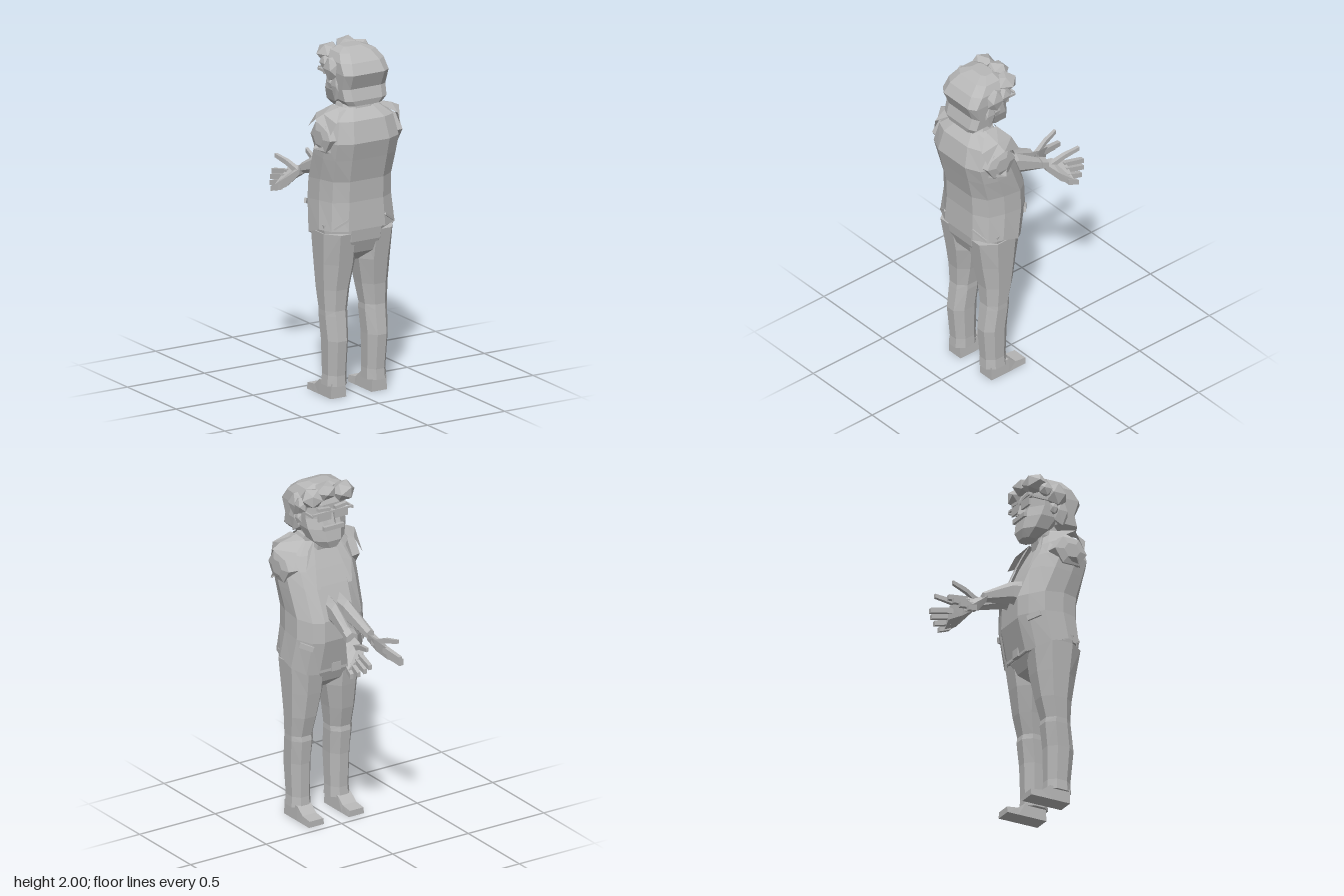
import * as THREE from 'three';

const grey = new THREE.MeshStandardMaterial({ color: 0xb8b8b8, side: THREE.DoubleSide });
grey.name = 'grey';

// Flat-shaded skin through cross-sections; closed rings wrap round and get end caps
function loft(name, rings, closed = true) {
  const tris = [], n = rings[0].length;
  for (let r = 0; r < rings.length - 1; r++)
    for (let i = 0; i < (closed ? n : n - 1); i++) {
      const j = (i + 1) % n, a = rings[r][i], b = rings[r][j], c = rings[r + 1][j], d = rings[r + 1][i];
      tris.push([a, b, c], [a, c, d]);
    }
  if (closed) {
    const end = rings[rings.length - 1];
    for (let i = 1; i < n - 1; i++) tris.push([rings[0][0], rings[0][i + 1], rings[0][i]], [end[0], end[i], end[i + 1]]);
  }
  // keep the outside facing out, also for mirrored parts
  let volume = 0;
  const v = p => new THREE.Vector3(...p);
  tris.forEach(([a, b, c]) => { volume += v(a).dot(v(b).cross(v(c))); });
  const pos = tris.flatMap(([a, b, c]) => (volume < 0 ? [a, c, b] : [a, b, c])).flat();
  const g = new THREE.BufferGeometry();
  g.setAttribute('position', new THREE.Float32BufferAttribute(pos, 3));
  g.computeVertexNormals();
  const m = new THREE.Mesh(g, grey);
  m.name = name;
  return m;
}

// Eight-sided level section between x0..x1 and z0..z1, corners cut by the fraction k
function section(y, x0, x1, z0, z1, k = 0.28, tilt = 0) {
  const dx = (x1 - x0) * k, dz = (z1 - z0) * k;
  return [[x0 + dx, z0], [x1 - dx, z0], [x1, z0 + dz], [x1, z1 - dz],
    [x1 - dx, z1], [x0 + dx, z1], [x0, z1 - dz], [x0, z0 + dz]]
    .map(([x, z]) => [x, y + tilt * (z - z0), z]);
}

// Tapered limb along a path of [x, y, z, half width, half height], running mainly along z
const limb = (name, path, sides = 6) => loft(name, path.map(([x, y, z, rx, ry]) =>
  Array.from({ length: sides }, (_, i) => {
    const a = (i + 0.5) / sides * Math.PI * 2;
    return [x + Math.cos(a) * rx, y + Math.sin(a) * ry, z];
  })));

const flip = (s, pts) => pts.map(([x, ...rest]) => [s * x, ...rest]);

function box(name, w, h, d, x, y, z, rx = 0, ry = 0, rz = 0) {
  const m = new THREE.Mesh(new THREE.BoxGeometry(w, h, d), grey);
  m.name = name;
  m.position.set(x, y, z);
  m.rotation.set(rx, ry, rz);
  return m;
}

function lump(name, x, y, z, sx, sy, sz, turn = 0) {
  const m = new THREE.Mesh(new THREE.IcosahedronGeometry(1, 0), grey);
  m.name = name;
  m.position.set(x, y, z);
  m.scale.set(sx, sy, sz);
  m.rotation.y = turn;
  return m;
}

// Torso rows: back height, front height, half width, back z, front z
const TORSO = [
  [0.97, 0.9, 0.235, 0.38, 0.05], [1.13, 1.1, 0.22, 0.37, 0.005], [1.25, 1.22, 0.216, 0.375, 0.008],
  [1.38, 1.4, 0.225, 0.405, 0.08], [1.48, 1.49, 0.228, 0.43, 0.12],
  [1.6, 1.57, 0.2, 0.4, 0.16], [1.66, 1.64, 0.125, 0.335, 0.195],
];
// Half outline as fractions of width and depth, from front edge to back
const OUTLINE = [[0.48, 0], [0.75, 0.1], [1, 0.3], [1, 0.62], [0.87, 0.87], [0.5, 1]];
const torsoRing = ([yb, yf, w, zb, zf], inset) => {
  const half = OUTLINE.map(([fx, fz]) => {
    const k = fz < 0.2 ? yf : yf + (yb - yf) * Math.min(1, fz * 1.6);
    return [fx * (w - inset), k, zf + inset + fz * (zb - zf - 2 * inset)];
  });
  return [...half, ...flip(-1, half).reverse()];
};

export function createModel() {
  const model = new THREE.Group();
  model.name = 'figure';
  const add = (...m) => model.add(...m);

  // Clothed body: shirt inside an open jacket
  add(loft('shirt', TORSO.map(r => torsoRing(r, 0.014))));
  add(loft('jacket', TORSO.map(r => torsoRing(r, 0)), false));
  add(box('belt', 0.22, 0.045, 0.02, 0, 0.925, 0.07), box('buckle', 0.06, 0.05, 0.02, 0, 0.925, 0.06));
  add(loft('hips', [section(0.77, -0.05, 0.05, 0.17, 0.27), section(0.83, -0.14, 0.14, 0.1, 0.34),
    section(0.9, -0.212, 0.212, 0.075, 0.365), section(1, -0.225, 0.225, 0.07, 0.375)]));

  for (const s of [1, -1]) {
    const side = s > 0 ? 'left' : 'right';
    const part = (name, rings) => add(loft(side + name, rings.map(r => flip(s, r))));

    // Trouser leg with a knee crease and a cuff
    part('TrouserLeg', [
      section(0.07, 0.065, 0.192, 0.165, 0.315), section(0.13, 0.068, 0.186, 0.17, 0.312),
      section(0.33, 0.064, 0.194, 0.165, 0.33), section(0.47, 0.057, 0.2, 0.15, 0.312),
      section(0.5, 0.058, 0.2, 0.155, 0.308), section(0.62, 0.04, 0.207, 0.125, 0.315),
      section(0.77, 0.012, 0.215, 0.1, 0.34), section(0.95, 0.01, 0.225, 0.075, 0.37),
    ]);

    // Shoe, low at the toe
    const shoe = [[0.295, 0.085], [0.17, 0.085], [0.12, 0.045], [0.05, 0.036]];
    part('Shoe', shoe.map(([z, h]) => [[0.082, 0, z], [0.182, 0, z], [0.178, h, z], [0.088, h, z]]));

    // Shoulder flap and cut-off sleeve
    add(loft(side + 'ShoulderFlap', [
      flip(s, [[0.11, 1.655, 0.2], [0.11, 1.66, 0.28], [0.11, 1.655, 0.34]]),
      flip(s, [[0.19, 1.61, 0.16], [0.22, 1.635, 0.28], [0.2, 1.6, 0.38]]),
      flip(s, [[0.225, 1.53, 0.13], [0.272, 1.61, 0.276], [0.225, 1.53, 0.36]]),
    ], false));
    const sleeve = [[0.18, 0.11], [0.235, 0.1], [0.25, 0.05]];
    part('Sleeve', sleeve.map(([x, r]) => Array.from({ length: 6 }, (_, i) => {
      const a = i / 6 * Math.PI * 2;
      return [x, 1.5 + Math.sin(a) * r * 0.9, 0.27 + Math.cos(a) * r];
    })));
    add(loft(side + 'SleeveFold', [
      flip(s, [[0.2, 1.47, 0.2], [0.285, 1.445, 0.275], [0.2, 1.47, 0.35]]),
      flip(s, [[0.2, 1.42, 0.2], [0.23, 1.435, 0.275], [0.2, 1.42, 0.35]]),
    ], false));

    // Lapel, pocket flap and back hem flap
    add(loft(side + 'Lapel', [
      flip(s, [[0.06, 1.645, 0.185], [0.11, 1.6, 0.165]]), flip(s, [[0.085, 1.53, 0.13], [0.15, 1.5, 0.125]]),
      flip(s, [[0.09, 1.4, 0.07], [0.115, 1.4, 0.07]]),
    ], false));
    add(box(side + 'PocketFlap', 0.08, 0.03, 0.012, s * 0.19, 1.08, 0.062, 0, s * -0.75, s * 0.3));
    add(box(side + 'HemFlap', 0.1, 0.012, 0.008, s * 0.155, 1.01, 0.362, 0, s * 0.45, s * -0.55));

    // Forearm reaching forward
    const arm = [[0.036, 1.27, 0.08, 0.034, 0.085], [0.04, 1.265, 0.0, 0.034, 0.066], [0.062, 1.185, -0.19, 0.027, 0.03]];
    add(limb(side + 'Forearm', flip(s, arm)));

    // Open hand with the palm up and fingers fanned out
    part('Palm', [
      [[0.042, 1.2, -0.17], [0.088, 1.19, -0.17], [0.088, 1.15, -0.18], [0.046, 1.155, -0.18]],
      [[0.045, 1.185, -0.24], [0.128, 1.13, -0.24], [0.125, 1.07, -0.25], [0.06, 1.11, -0.25]],
      [[0.07, 1.16, -0.32], [0.165, 1.075, -0.31], [0.16, 1.035, -0.31], [0.085, 1.08, -0.32]],
    ]);
    const fingers = [
      ['IndexFinger', [0.082, 1.135, -0.3], [0.1, 1.115, -0.428]],
      ['MiddleFinger', [0.102, 1.11, -0.3], [0.12, 1.09, -0.41]],
      ['RingFinger', [0.125, 1.085, -0.29], [0.142, 1.065, -0.38]],
      ['LittleFinger', [0.146, 1.065, -0.28], [0.162, 1.045, -0.34]],
      ['Thumb', [0.06, 1.15, -0.22], [0.082, 1.19, -0.31], [0.1, 1.21, -0.4]],
    ];
    for (const [name, ...pts] of fingers)
      add(limb(side + name, flip(s, pts.map((p, i) => [...p, 0.02 - i * 0.004, 0.024 - i * 0.004])), 4));

    // Face and hair at the side
    add(lump(side + 'Ear', s * 0.135, 1.79, 0.22, 0.02, 0.04, 0.03));
    add(lump(side + 'SideHair', s * 0.135, 1.87, 0.235, 0.045, 0.075, 0.07));
    add(lump(side + 'Sideburn', s * 0.125, 1.78, 0.27, 0.03, 0.1, 0.05));
    add(box(side + 'Lens', 0.085, 0.045, 0.012, s * 0.055, 1.82, 0.088));
    add(box(side + 'GlassesArm', 0.01, 0.014, 0.13, s * 0.132, 1.835, 0.15));
    add(box(side + 'Brow', 0.08, 0.018, 0.025, s * 0.055, 1.862, 0.095, 0, 0, s * 0.1));
  }

  // Wristwatch
  add(limb('watchBand', [[0.056, 1.205, -0.15, 0.042, 0.04], [0.06, 1.19, -0.19, 0.042, 0.037]]));

  // Neck and head
  add(loft('neck', [section(1.58, -0.09, 0.09, 0.18, 0.33), section(1.73, -0.08, 0.08, 0.16, 0.32)]));
  add(loft('collar', [section(1.62, -0.12, 0.12, 0.19, 0.345, 0.28, 0.1), section(1.665, -0.1, 0.1, 0.17, 0.335, 0.28, 0.1)]));
  add(loft('head', [
    section(1.625, -0.05, 0.05, 0.085, 0.17), section(1.67, -0.1, 0.1, 0.072, 0.25),
    section(1.74, -0.125, 0.125, 0.085, 0.3), section(1.8, -0.128, 0.128, 0.105, 0.32),
    section(1.88, -0.13, 0.13, 0.105, 0.33), section(1.94, -0.11, 0.11, 0.13, 0.32),
  ]));
  add(loft('nose', [
    [[-0.028, 1.77, 0.1], [0, 1.77, 0.064], [0.028, 1.77, 0.1]],
    [[-0.012, 1.85, 0.11], [0, 1.85, 0.09], [0.012, 1.85, 0.11]],
  ]));
  add(box('moustache', 0.13, 0.025, 0.02, 0, 1.75, 0.08), box('glassesBridge', 0.26, 0.012, 0.012, 0, 1.842, 0.088));

  // Hair: rounded back and crown, then a swept fringe
  add(loft('backHair', [
    section(1.68, -0.105, 0.105, 0.27, 0.38, 0.15), section(1.71, -0.135, 0.135, 0.25, 0.385, 0.15),
    section(1.775, -0.14, 0.14, 0.23, 0.365, 0.15), section(1.86, -0.145, 0.145, 0.2, 0.4, 0.15),
    section(1.92, -0.14, 0.14, 0.16, 0.365, 0.18), section(1.965, -0.115, 0.115, 0.15, 0.31, 0.2),
    section(1.985, -0.06, 0.06, 0.17, 0.25, 0.2),
  ]));
  add(lump('rightFringe', -0.09, 1.93, 0.125, 0.075, 0.06, 0.07, 0.4));
  add(lump('middleFringe', 0.025, 1.955, 0.125, 0.07, 0.053, 0.065, 0.7));
  add(lump('leftFringe', 0.105, 1.925, 0.135, 0.065, 0.06, 0.07, -0.5));
  add(lump('leftLock', 0.145, 1.88, 0.18, 0.036, 0.05, 0.05));
  add(lump('rightLock', -0.135, 1.89, 0.17, 0.032, 0.045, 0.05));
  return model;
}
